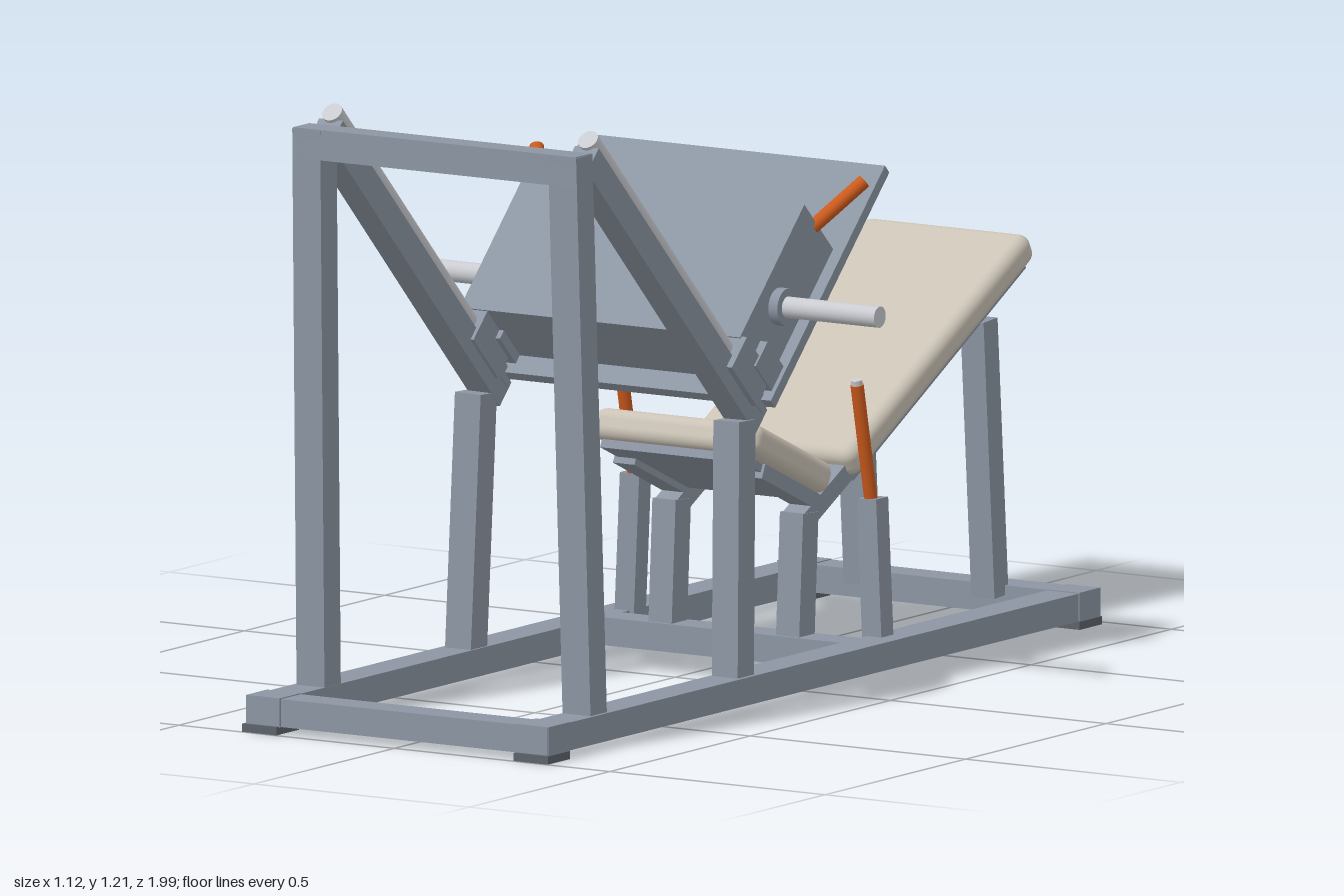
import * as THREE from 'three';
import { mergeGeometries } from 'three/addons/utils/BufferGeometryUtils.js';
import { RoundedBoxGeometry } from 'three/addons/geometries/RoundedBoxGeometry.js';

const material = (name, color) => {
  const m = new THREE.MeshStandardMaterial({ color });
  m.name = name;
  return m;
};

export function createModel() {
  const steel = material('frame grey', 0x8c95a2);
  const chrome = material('polished steel', 0xc9cbd0);
  const cream = material('cream upholstery', 0xcac2b5);
  const orange = material('orange grip', 0xcc5a1c);
  const dark = material('dark foot', 0x5d636b);
  const model = new THREE.Group();
  model.name = 'legPressMachine';

  const add = (name, geometry, mat, x = 0, y = 0, z = 0, parent = model) => {
    const mesh = new THREE.Mesh(geometry, mat);
    mesh.name = name;
    mesh.position.set(x, y, z);
    parent.add(mesh);
    return mesh;
  };
  const box = (name, w, h, d, x, y, z, mat = steel, parent = model) =>
    add(name, new THREE.BoxGeometry(w, h, d), mat, x, y, z, parent);
  // Square tube between two points; width runs along x
  const beam = (name, a, b, width, depth, mat = steel) => {
    const p = new THREE.Vector3(...a), q = new THREE.Vector3(...b);
    const mesh = add(name, new THREE.BoxGeometry(depth, width, p.distanceTo(q)), mat);
    mesh.position.copy(p).lerp(q, 0.5);
    mesh.up.set(1, 0, 0);
    mesh.lookAt(q);
    return mesh;
  };
  // Round bar between two points
  const rod = (name, a, b, radius, mat, parent = model) => {
    const p = new THREE.Vector3(...a), q = new THREE.Vector3(...b);
    const mesh = add(name, new THREE.CylinderGeometry(radius, radius, p.distanceTo(q), 24), mat, 0, 0, 0, parent);
    mesh.position.copy(p).lerp(q, 0.5);
    mesh.quaternion.setFromUnitVectors(new THREE.Vector3(0, 1, 0), q.sub(p).normalize());
    return mesh;
  };

  // Base cross members and the top bar of the tower
  for (const [name, z] of [['frontBaseBar', 0.95], ['middleBaseBar', -0.2], ['rearBaseBar', -0.942]])
    box(name, 0.57, 0.055, 0.07, 0, 0.0425, z);
  box('towerTopBar', 0.655, 0.06, 0.057, 0, 1.145, 0.829);

  // Everything mirrored left and right
  for (const s of [-1, 1]) {
    box('baseSideRail', 0.073, 0.055, 1.965, s * 0.312, 0.0425, 0.0075);
    for (const z of [0.958, -0.936]) {
      box('foot', 0.08, 0.016, 0.08, s * 0.315, 0.008, z, dark);
      box('cornerBlock', 0.078, 0.058, 0.075, s * 0.312, 0.043, z < 0 ? -0.939 : 0.952);
    }
    beam('towerPost', [s * 0.309, 0.05, 0.795], [s * 0.297, 1.173, 0.829], 0.065, 0.058);
    beam('slideRail', [s * 0.297, 0.56, 0.19], [s * 0.297, 1.16, 0.79], 0.055, 0.058);
    rod('guideRod', [s * 0.297, 0.60, 0.171], [s * 0.297, 1.195, 0.766], 0.021, chrome);
    beam('railLeg', [s * 0.31, 0.05, 0.27], [s * 0.3, 0.57, 0.249], 0.06, 0.058);
    beam('seatLeg', [s * 0.148, 0.05, -0.2], [s * 0.148, 0.31, -0.215], 0.054, 0.055);
    beam('seatBracket', [s * 0.148, 0.293, -0.205], [s * 0.148, 0.395, -0.4], 0.05, 0.04);
    beam('seatSupport', [s * 0.148, 0.325, -0.25], [s * 0.148, 0.415, -0.05], 0.05, 0.03);
    beam('backrestLeg', [s * 0.148, 0.05, -0.894], [s * 0.148, 0.6, -0.855], 0.054, 0.05);
    beam('handlePost', [s * 0.288, 0.05, -0.281], [s * 0.275, 0.34, -0.281], 0.045, 0.043);
    rod('seatHandle', [s * 0.275, 0.33, -0.277], [s * 0.275, 0.57, -0.226], 0.013, orange);
    rod('seatHandleTip', [s * 0.275, 0.568, -0.2264], [s * 0.275, 0.58, -0.224], 0.011, chrome);
  }

  // Upholstered pads on steel boards
  const pad = (name, y, z, length, angle) => {
    const group = new THREE.Group();
    group.name = name;
    group.position.set(0, y, z);
    group.rotation.x = angle;
    add('cushion', new RoundedBoxGeometry(0.385, 0.064, length, 4, 0.024), cream, 0, 0.004, 0, group);
    box('backingBoard', 0.334, 0.02, length - 0.035, 0, -0.034, 0, steel, group);
    model.add(group);
  };
  pad('seat', 0.425, -0.13, 0.305, -0.42);
  pad('backrest', 0.555, -0.665, 0.735, 0.497);

  // Sliding sled, tilted so its local y follows the rails
  const sled = new THREE.Group();
  sled.name = 'sled';
  sled.position.set(0, 0.8, -0.015);
  sled.rotation.x = Math.PI / 4;
  model.add(sled);
  box('footPlate', 0.7, 0.022, 0.575, 0, 0, 0, steel, sled);
  box('sledBody', 0.65, 0.145, 0.325, 0, 0.083, 0.082, steel, sled);
  box('treadSheet', 0.675, 0.006, 0.55, 0, -0.014, 0, orange, sled);

  // Raised studs in rows on the tread
  const studs = [];
  for (let r = 0; r < 11; r++)
    for (let c = 0; c < 20; c++) {
      const stud = new THREE.BoxGeometry(0.02, 0.005, 0.006);
      stud.rotateY((r + c) % 2 ? 0.6 : -0.6);
      stud.translate((c - 9.5) * 0.033, -0.0185, (r - 5) * 0.049);
      studs.push(stud);
    }
  add('treadStuds', mergeGeometries(studs), orange, 0, 0, 0, sled);

  for (const s of [-1, 1]) {
    box('slideSleeve', 0.075, 0.125, 0.075, s * 0.3, 0.09, 0.277, steel, sled);
    box('sleeveMount', 0.09, 0.08, 0.06, s * 0.297, 0.052, 0.235, steel, sled);
    box('sleeveStop', 0.06, 0.04, 0.03, s * 0.297, 0.005, 0.288, steel, sled);
    rod('weightPeg', [s * 0.32, 0.088, 0.117], [s * 0.56, 0.088, 0.117], 0.021, chrome, sled);
    rod('pegCollar', [s * 0.32, 0.088, 0.117], [s * 0.346, 0.088, 0.117], 0.037, steel, sled);
    rod('sledHandle', [s * 0.315, 0.915, -0.005], [s * 0.38, 1.0, -0.09], 0.014, orange);
  }
  return model;
}
